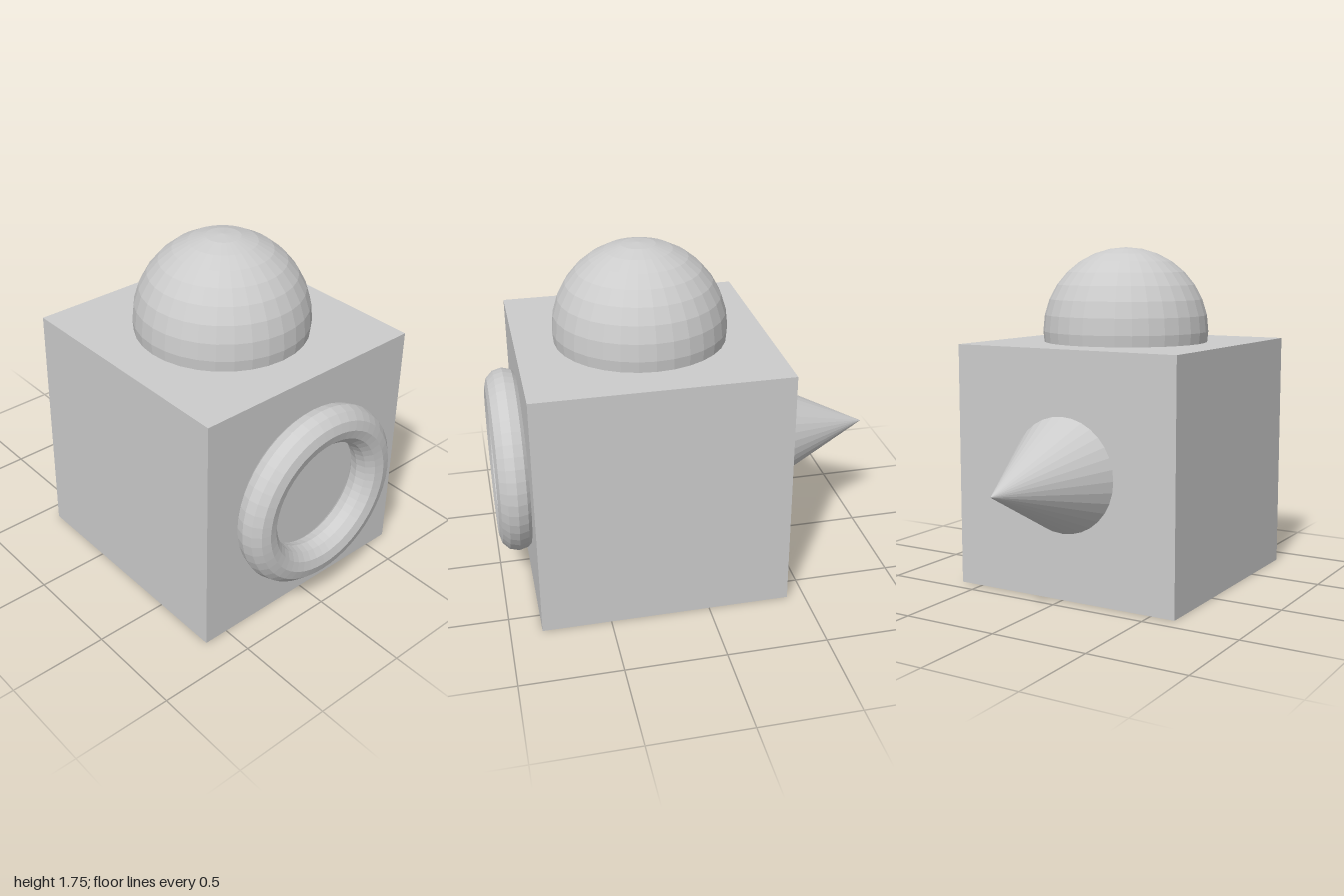
import * as THREE from 'three';

const SIZE = 1.256;       // cube edge
const CUBE_Z = 0.216;     // cube centre along z
const MID_Y = SIZE / 2;

export function createModel() {
  const model = new THREE.Group();
  model.name = 'model';
  const material = new THREE.MeshStandardMaterial({ color: 0xcccccc, flatShading: true });

  const add = (name, geometry, x, y, z) => {
    const mesh = new THREE.Mesh(geometry, material);
    mesh.name = name;
    mesh.position.set(x, y, z);
    model.add(mesh);
    return mesh;
  };

  // Cube body standing on the ground
  add('body', new THREE.BoxGeometry(SIZE, SIZE, SIZE), 0, MID_Y, CUBE_Z);

  // Ball sunk into the top face
  add('dome', new THREE.SphereGeometry(0.437, 32, 16), 0, 1.312, CUBE_Z);

  // Ring partly sunk into the front face
  add('frontRing', new THREE.TorusGeometry(0.378, 0.093, 12, 48), 0, 0.633, 0.907);

  // Cone pointing backwards, its base just inside the back face
  const coneLength = 0.62;
  const spike = add('backSpike', new THREE.ConeGeometry(coneLength * 0.498, coneLength, 32),
    0, 0.633, -1 + coneLength / 2);
  spike.rotation.x = -Math.PI / 2;

  return model;
}
